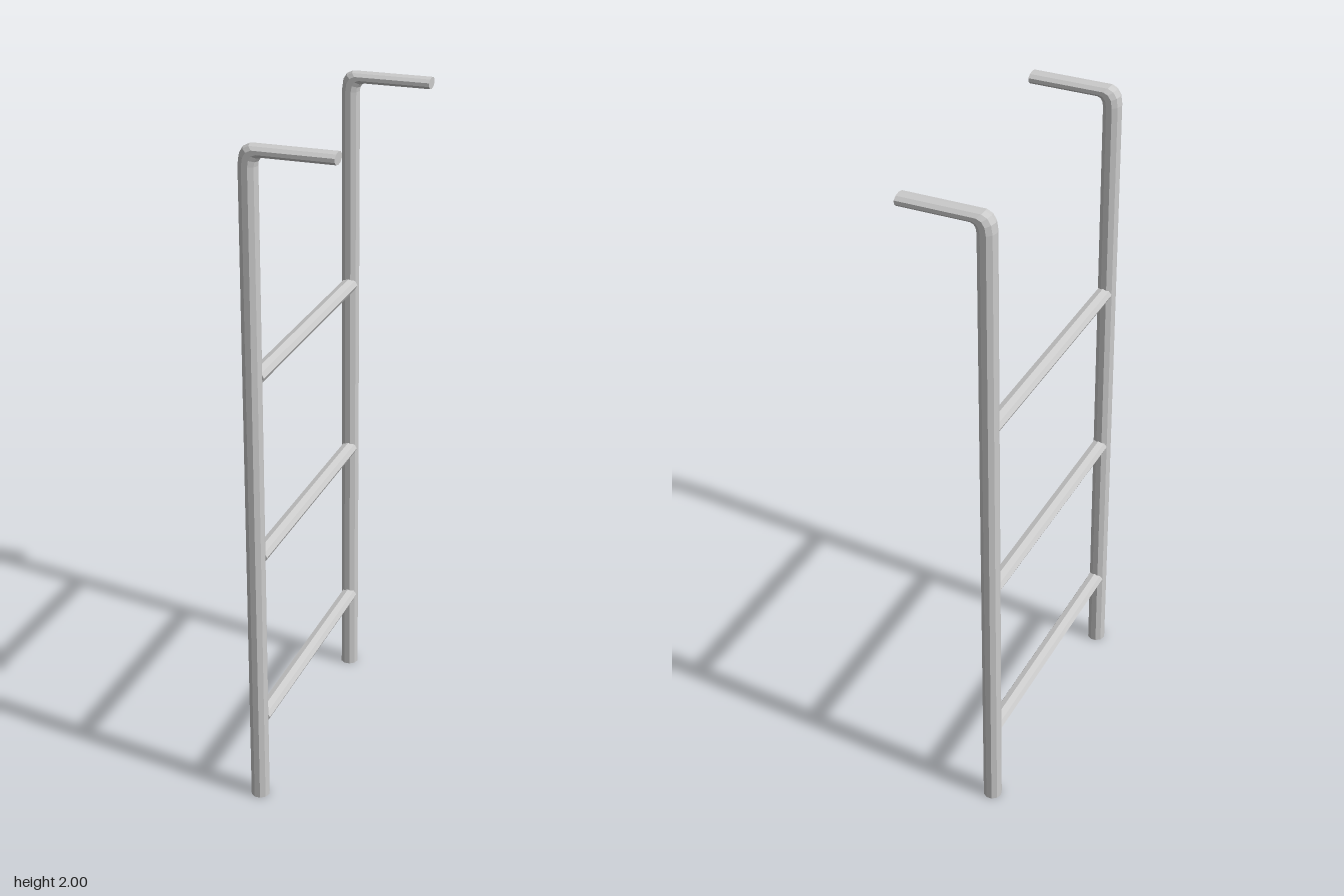
import * as THREE from 'three';

const SIDES = 10;
const HALF_WIDTH = 0.029;
const POLE_Z = 0.408;

// Rail sections from foot to grip: outer x, y and inner x, y
const SECTIONS = [
  [-0.138, 0, -0.083, 0],
  [-0.138, 1.945, -0.083, 1.94],
  [-0.134, 1.973, -0.081, 1.953],
  [-0.123, 1.991, -0.075, 1.962],
  [-0.105, 2, -0.066, 1.965],
  [0.137, 2, 0.137, 1.965],
];

// Skins elliptical rings along the sections and caps both ends
function railGeometry() {
  const rings = SECTIONS.map(([ox, oy, ix, iy]) => {
    const ring = [];
    for (let i = 0; i < SIDES; i++) {
      const a = (i / SIDES) * Math.PI * 2;
      const t = (1 - Math.cos(a)) / 2;
      ring.push([ox + (ix - ox) * t, oy + (iy - oy) * t, Math.sin(a) * HALF_WIDTH]);
    }
    return ring;
  });
  const pos = [];
  const tri = (a, b, c) => pos.push(...a, ...b, ...c);
  for (let r = 0; r < rings.length - 1; r++) {
    for (let i = 0; i < SIDES; i++) {
      const j = (i + 1) % SIDES;
      const [a, b, c, d] = [rings[r][i], rings[r][j], rings[r + 1][j], rings[r + 1][i]];
      tri(a, b, c);
      tri(a, c, d);
    }
  }
  const foot = rings[0];
  const grip = rings[rings.length - 1];
  for (let i = 1; i < SIDES - 1; i++) {
    tri(foot[0], foot[i + 1], foot[i]);
    tri(grip[0], grip[i], grip[i + 1]);
  }
  const geo = new THREE.BufferGeometry();
  geo.setAttribute('position', new THREE.Float32BufferAttribute(pos, 3));
  geo.computeVertexNormals();
  return geo;
}

export function createModel() {
  const group = new THREE.Group();
  group.name = 'ladder';
  const material = new THREE.MeshStandardMaterial({ color: 0xcccccc, flatShading: true });

  // Side rails with bent-over top grips
  const railGeo = railGeometry();
  for (const side of [1, -1]) {
    const rail = new THREE.Mesh(railGeo, material);
    rail.name = side > 0 ? 'frontRail' : 'backRail';
    rail.position.z = side * POLE_Z;
    group.add(rail);
  }

  // Rungs, slightly flattened and set into the rails
  const rungGeo = new THREE.CylinderGeometry(1, 1, 0.785, 8);
  rungGeo.rotateX(Math.PI / 2);
  rungGeo.scale(0.025, 0.021, 1);
  [0.26, 0.79, 1.34].forEach((y, i) => {
    const rung = new THREE.Mesh(rungGeo, material);
    rung.name = `rung${i + 1}`;
    rung.position.set(-0.108, y, 0);
    group.add(rung);
  });

  return group;
}
